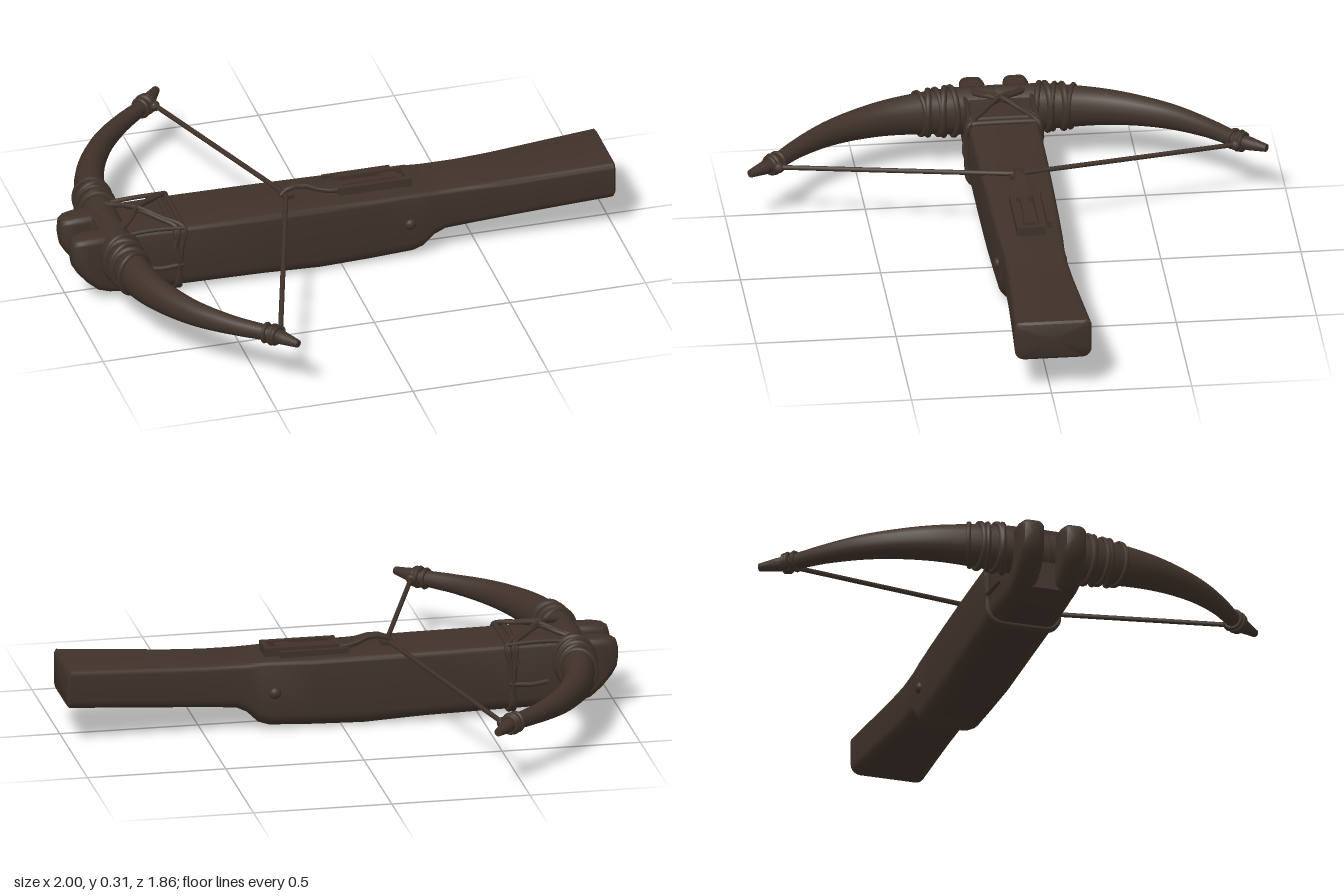
import * as THREE from 'three';
import { toCreasedNormals } from 'three/addons/utils/BufferGeometryUtils.js';

const V = (x, y, z) => new THREE.Vector3(x, y, z);
const ZC = -0.007; // centre line of the stock

// Skin a list of equal-length rings and close both ends
function loft(rings, crease = 0.7) {
  const n = rings[0].length, pos = [], idx = [];
  rings.forEach(r => r.forEach(p => pos.push(p.x, p.y, p.z)));
  for (let i = 0; i < rings.length - 1; i++) for (let j = 0; j < n; j++) {
    const a = i * n + j, b = i * n + (j + 1) % n;
    idx.push(a, a + n, b, b, a + n, b + n);
  }
  [0, rings.length - 1].forEach((ri, end) => {
    const c = rings[ri].reduce((s, p) => s.add(p), V(0, 0, 0)).divideScalar(n);
    const ci = pos.length / 3;
    pos.push(c.x, c.y, c.z);
    for (let j = 0; j < n; j++) {
      const a = ri * n + j, b = ri * n + (j + 1) % n;
      end ? idx.push(ci, b, a) : idx.push(ci, a, b);
    }
  });
  const g = new THREE.BufferGeometry();
  g.setAttribute('position', new THREE.Float32BufferAttribute(pos, 3));
  g.setIndex(idx);
  return toCreasedNormals(g, crease);
}

// Rounded rectangle across the stock, with soft lower corners
function stockRing(x, y0, y1, z0, z1, rTop, rLow) {
  const ring = [];
  [[1, 1, 0], [-1, 1, 1], [-1, -1, 2], [1, -1, 3]].forEach(([sz, sy, q]) => {
    const r = Math.min(sy > 0 ? rTop : rLow, (y1 - y0) * 0.48, (z1 - z0) * 0.48);
    const cz = sz > 0 ? z1 - r : z0 + r, cy = sy > 0 ? y1 - r : y0 + r;
    for (let k = 0; k <= 5; k++) {
      const a = (q + k / 5) * Math.PI / 2;
      ring.push(V(x, cy + r * Math.sin(a), cz + r * Math.cos(a)));
    }
  });
  return ring;
}

export function createModel() {
  const group = new THREE.Group();
  const wood = new THREE.MeshStandardMaterial({ color: 0x40322a });
  wood.name = 'darkWood';
  const add = (name, geo, parent = group) => {
    const m = new THREE.Mesh(geo, wood);
    m.name = name;
    parent.add(m);
    return m;
  };
  const rope = (name, pts, r, closed = false, parent = group) => add(name, new THREE.TubeGeometry(
    new THREE.CatmullRomCurve3(pts.map(p => V(...p)), closed, 'centripetal'), pts.length * 6, r, 8, closed), parent);
  const box = (name, x0, x1, y0, y1, z0, z1) => {
    const m = add(name, new THREE.BoxGeometry(x1 - x0, y1 - y0, z1 - z0));
    m.position.set((x0 + x1) / 2, (y0 + y1) / 2, (z0 + z1) / 2);
    return m;
  };

  // Stock: x, bottom, top, half width, lower corner radius
  const stock = [
    [-0.885, 0.05, 0.272, 0.1, 0.05], [-0.85, 0.034, 0.272, 0.115, 0.05], [-0.79, 0.025, 0.271, 0.122, 0.05],
    [-0.6, 0.024, 0.27, 0.126, 0.05], [-0.3, 0.018, 0.268, 0.125, 0.05], [-0.08, 0.005, 0.266, 0.122, 0.055],
    [0.1, 0.009, 0.264, 0.119, 0.055], [0.26, 0.017, 0.262, 0.115, 0.05], [0.3, 0.03, 0.261, 0.113, 0.05],
    [0.34, 0.07, 0.26, 0.111, 0.045], [0.38, 0.09, 0.26, 0.11, 0.04], [0.47, 0.098, 0.26, 0.11, 0.035],
    [0.6, 0.108, 0.264, 0.115, 0.035], [0.8, 0.124, 0.275, 0.126, 0.035], [0.975, 0.137, 0.284, 0.136, 0.035],
    [0.99, 0.139, 0.285, 0.137, 0.035], [0.997, 0.147, 0.277, 0.129, 0.03]];
  add('stock', loft(stock.map(([x, y0, y1, w, r]) => stockRing(x, y0, y1, ZC - w, ZC + w, 0.02, r))));

  // Forked nose: two rounded prongs; x, bottom, top, side inset
  const nose = [
    [-1, 0.19, 0.235, 0.028], [-0.993, 0.155, 0.257, 0.012], [-0.975, 0.125, 0.267, 0.004],
    [-0.94, 0.085, 0.272, 0], [-0.9, 0.05, 0.273, 0], [-0.86, 0.036, 0.272, 0.002], [-0.82, 0.03, 0.271, 0.006]];
  for (const s of [-1, 1]) {
    add('noseProng', loft(nose.map(([x, y0, y1, d]) => {
      const a = ZC + s * (0.032 + d), b = ZC + s * (0.124 - d);
      return stockRing(x, y0, y1, Math.min(a, b), Math.max(a, b), 0.025, 0.04);
    })));
  }

  // Bow limbs: x, z, horizontal radius, vertical radius
  const limbPts = [
    [-0.835, 0.0, 0.065, 0.09], [-0.832, 0.15, 0.066, 0.088], [-0.822, 0.27, 0.06, 0.078], [-0.795, 0.4, 0.053, 0.066],
    [-0.745, 0.52, 0.045, 0.055], [-0.68, 0.625, 0.038, 0.046], [-0.58, 0.735, 0.031, 0.035],
    [-0.47, 0.83, 0.026, 0.027], [-0.44, 0.868, 0.025, 0.024], [-0.4, 0.922, 0.014, 0.014]];
  const path = new THREE.CatmullRomCurve3(limbPts.map(p => V(p[0], 0, p[1])), false, 'centripetal');
  const limbRing = (t, s, grow = 0, n = 16) => {
    const p = path.getPoint(t), d = path.getTangent(t);
    const f = t * (limbPts.length - 1), i = Math.min(Math.floor(f), limbPts.length - 2);
    const rx = THREE.MathUtils.lerp(limbPts[i][2], limbPts[i + 1][2], f - i) + grow;
    const ry = THREE.MathUtils.lerp(limbPts[i][3], limbPts[i + 1][3], f - i) + grow;
    const tan = V(d.x, 0, d.z * s).normalize();
    const u = V(0, 1, 0).cross(tan.negate());
    const c = V(p.x, 0.207 + 0.013 * Math.min(1, t * 1.3), p.z * s);
    return Array.from({ length: n }, (_, k) => {
      const a = k / n * Math.PI * 2;
      return c.clone().addScaledVector(u, rx * Math.cos(a)).add(V(0, ry * Math.sin(a), 0));
    });
  };
  for (const s of [-1, 1]) {
    const side = new THREE.Group();
    side.name = s > 0 ? 'frontLimb' : 'backLimb';
    group.add(side);
    add('limb', loft(Array.from({ length: 46 }, (_, i) => limbRing(i / 45, s))), side);
    // Bindings around the limb root, slightly tilted
    [[0.115, 0.011, 0.012], [0.14, 0.012, -0.014], [0.165, 0.01, 0.01], [0.195, 0.012, -0.012], [0.225, 0.009, 0.012]]
      .forEach(([t, r, tilt]) => {
        const pts = limbRing(t, s, 0.001, 14).map((p, k) => [p.x, p.y, p.z + tilt * Math.cos(k / 7 * Math.PI)]);
        rope('rootBinding', pts, r, true, side);
      });
    // Knotted string loops near the tip
    [[0.755, 0.008], [0.785, 0.011], [0.815, 0.009]].forEach(([t, r]) =>
      rope('tipBinding', limbRing(t, s, 0.003, 10).map(p => p.toArray()), r, true, side));
    const knot = add('stringKnot', new THREE.SphereGeometry(0.02, 12, 8), side);
    knot.position.set(-0.437, 0.22, 0.815 * s);
    // Bowstring half
    rope('bowstring', [[-0.437, 0.222, 0.82 * s], [-0.31, 0.25, 0.41 * s], [-0.185, 0.278, 0.005 * s]], 0.009, false, side);
  }

  // Crossed lashing over the top, tied down the sides of the stock
  for (const s of [-1, 1]) {
    for (const o of [0, 0.025]) {
      rope('crossLashing', [
        [-0.885 + o, 0.19, ZC + s * 0.126], [-0.87 + o, 0.268, ZC + s * 0.115], [-0.79 + o / 2, 0.294, ZC + s * 0.06],
        [-0.73, 0.308 - o / 3, ZC], [-0.665 - o / 2, 0.294, ZC - s * 0.06],
        [-0.59 - o, 0.27, ZC - s * 0.125], [-0.605 - o, 0.2, ZC - s * 0.135]], 0.009);
    }
    rope('sideLashing', [[-0.86, 0.268, ZC + s * 0.12], [-0.72, 0.278, ZC + s * 0.118], [-0.59, 0.274, ZC + s * 0.126]], 0.008);
    rope('sideLashing', [[-0.74, 0.13, ZC + s * 0.124], [-0.68, 0.125, ZC + s * 0.133], [-0.6, 0.13, ZC + s * 0.133]], 0.009);
  }
  // Ropes looping right round the stock
  [[-0.595, 0.025], [-0.625, -0.02]].forEach(([x, lean]) => {
    const pts = stockRing(x, 0.022, 0.274, ZC - 0.13, ZC + 0.13, 0.025, 0.05)
      .map(p => [p.x - lean * (0.274 - p.y) / 0.25, p.y, p.z]);
    rope('stockLashing', pts, 0.01, true);
  });
  rope('bandAcrossTop', [[-0.865, 0.268, ZC - 0.12], [-0.86, 0.28, ZC], [-0.865, 0.268, ZC + 0.12]], 0.01);

  // Catch: arched hook holding the string, widening into the lock
  const hook = [[-0.205, 0.272, 0.012], [-0.185, 0.292, 0.014], [-0.15, 0.304, 0.016], [-0.11, 0.302, 0.02],
    [-0.07, 0.288, 0.032], [-0.03, 0.282, 0.042], [0.02, 0.28, 0.044]];
  add('catchHook', loft(hook.map(([x, y, w]) => stockRing(x, y - 0.01, y + 0.008, -0.012 - w, -0.012 + w, 0.006, 0.006))));
  const seat = box('stringSeat', -0.2, -0.16, 0.262, 0.282, -0.03, 0.02);
  seat.rotation.y = 0.15;

  // Lock frame with an open slot and a small lever in it
  box('lockRail', 0.0, 0.27, 0.255, 0.294, 0.022, 0.042);
  box('lockRail', 0.0, 0.27, 0.255, 0.294, -0.058, -0.04);
  box('lockEnd', 0.25, 0.27, 0.255, 0.294, -0.058, 0.042);
  box('lockFloor', 0.0, 0.26, 0.255, 0.272, -0.05, 0.03);
  box('lockLever', 0.01, 0.17, 0.265, 0.288, -0.022, 0.006);
  box('leverEnd', 0.165, 0.225, 0.265, 0.292, -0.03, 0.012);
  box('sidePlate', -0.03, 0.22, 0.255, 0.286, -0.085, -0.072);

  // Pin through the stock with domed ends
  for (const s of [-1, 1]) {
    const pin = add('pinHead', new THREE.SphereGeometry(0.021, 16, 10));
    pin.position.set(0.245, 0.147, ZC + s * 0.116);
    pin.scale.z = 0.75;
  }
  return group;
}
